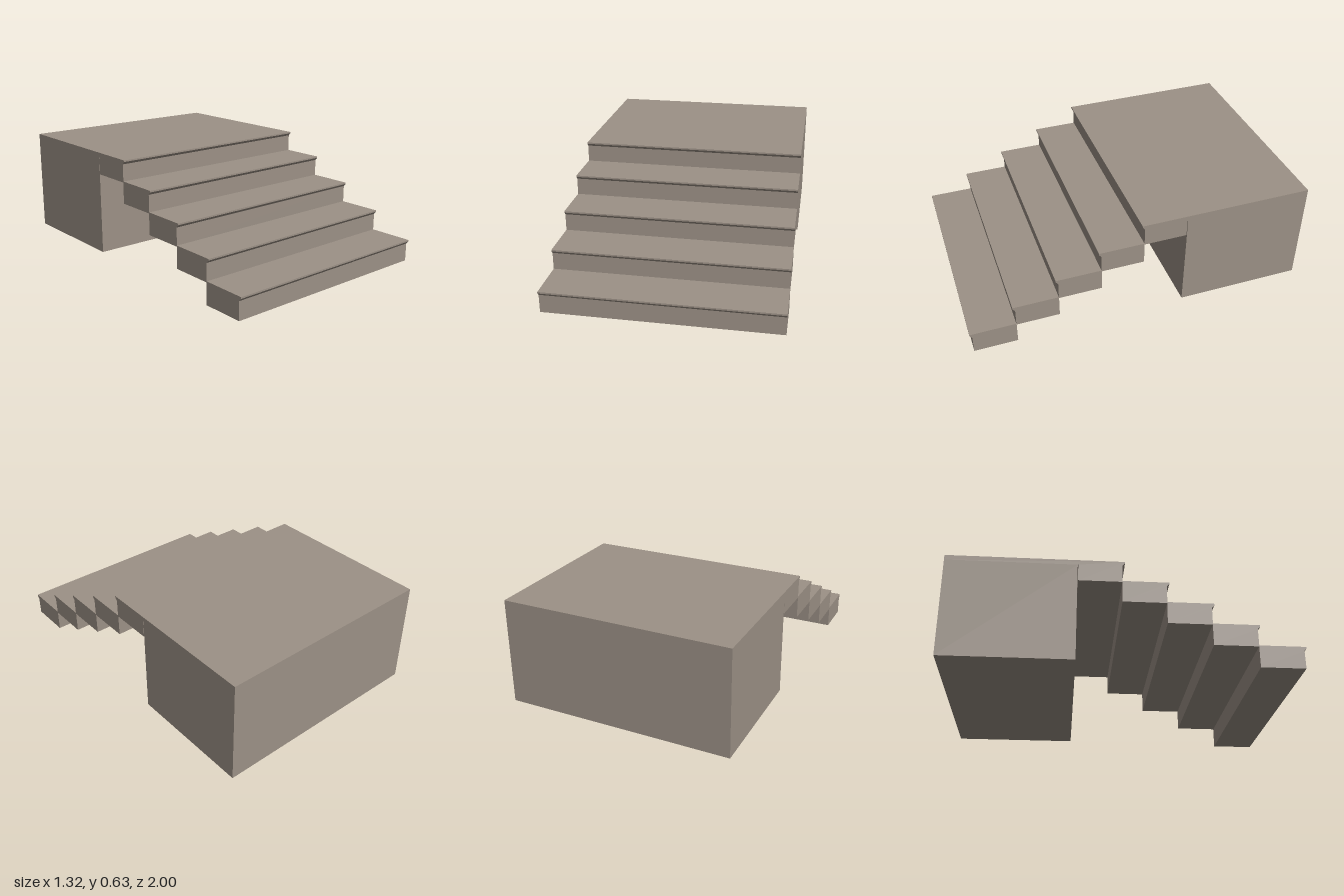
import * as THREE from 'three';

const WIDTH = 1.32;
const RUN = 0.248;
const RISE = 0.1247;
const STEPS = 5;

// Extrude a [z, y] side profile across the full width
function acrossWidth(points, material, name) {
  const shape = new THREE.Shape(points.map(([z, y]) => new THREE.Vector2(-z, y)));
  const geometry = new THREE.ExtrudeGeometry(shape, { depth: WIDTH, bevelEnabled: false });
  geometry.translate(0, 0, -WIDTH / 2);
  geometry.rotateY(Math.PI / 2); // shape x becomes -z, depth becomes x
  const mesh = new THREE.Mesh(geometry, material);
  mesh.name = name;
  return mesh;
}

export function createModel() {
  const group = new THREE.Group();
  group.name = 'entranceSteps';
  const concrete = new THREE.MeshStandardMaterial({ color: 0x9c9186 });
  concrete.name = 'concrete';

  // Steps with a chamfered nosing; the top tread runs on as the landing slab
  for (let i = 0; i < STEPS; i++) {
    const z = 1 - i * RUN;
    const y = i * RISE;
    const top = y + 0.131;
    const back = z - 0.263;
    const last = i === STEPS - 1;
    const tail = last
      ? [[back, 0.6], [-1, 0.6], [-1, top]]
      : [[back, top]];
    group.add(acrossWidth([
      [z, top], [z, top - 0.009], [z - 0.014, top - 0.025], [z - 0.014, y],
      [back, y], ...tail,
    ], concrete, last ? 'topStepAndLanding' : `step${i + 1}`));
  }

  // Solid base under the landing
  const base = new THREE.Mesh(new THREE.BoxGeometry(WIDTH, 0.588, 0.742), concrete);
  base.name = 'landingBase';
  base.position.set(0, 0.306, -0.629);
  group.add(base);

  return group;
}
